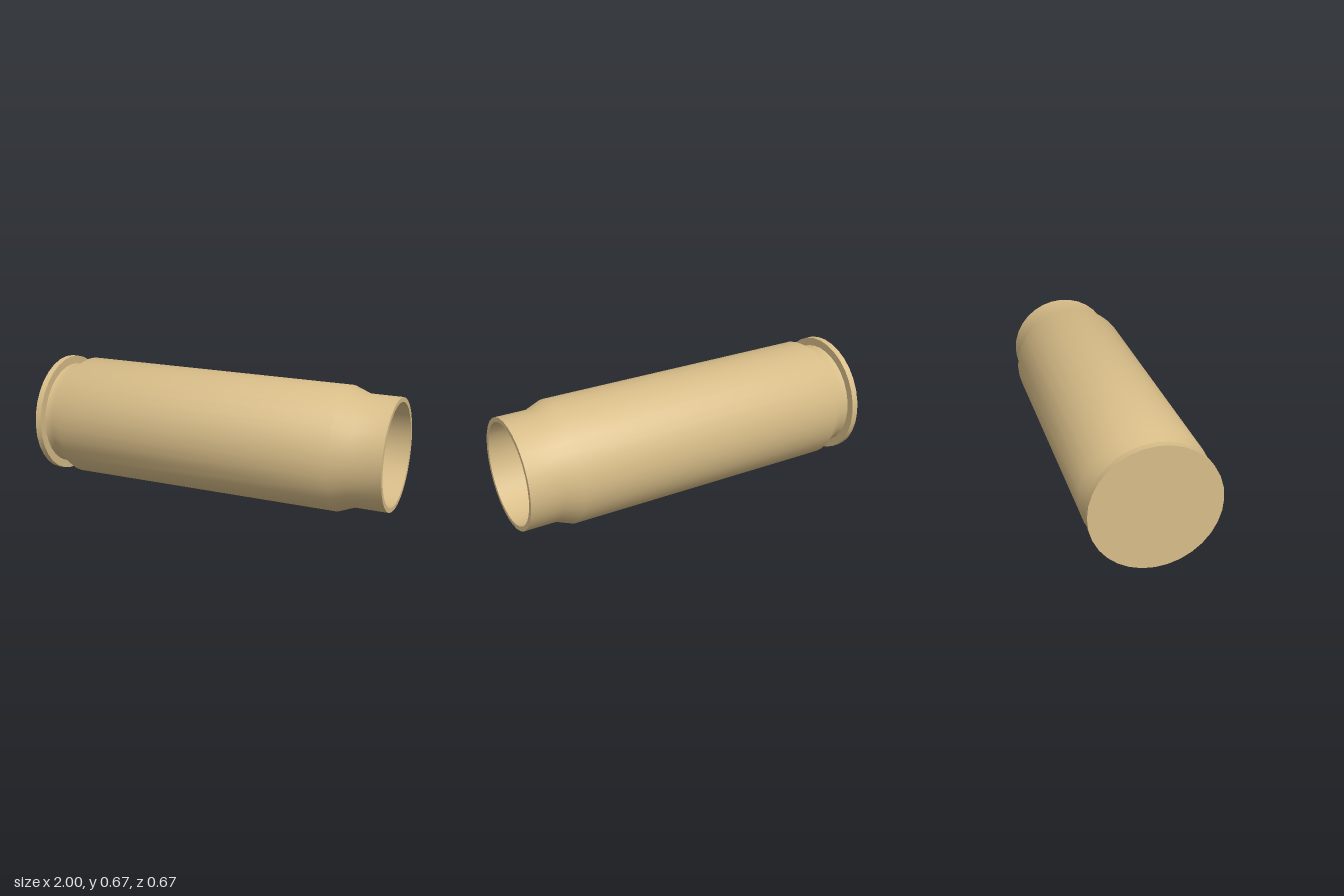
import * as THREE from 'three';
import { toCreasedNormals } from 'three/addons/utils/BufferGeometryUtils.js';

export function createModel() {
  const group = new THREE.Group();
  group.name = 'cartridgeCase';

  const brass = new THREE.MeshStandardMaterial({ color: 0xd8bd88 });

  // Closed profile as [radius, position along the axis], from base to mouth and back inside
  const profile = [
    [0, -1], [0.335, -1], [0.335, -0.965],             // base and rim
    [0.29, -0.965], [0.29, -0.92], [0.335, -0.84],     // extractor groove
    [0.335, 0.73], [0.30, 0.82], [0.30, 1],            // body, shoulder and neck
    [0.275, 1], [0.275, -0.9], [0, -0.9],              // mouth, bore and floor
  ].map(([r, y]) => new THREE.Vector2(r, y));

  const geometry = toCreasedNormals(new THREE.LatheGeometry(profile, 32), 0.6);
  const casing = new THREE.Mesh(geometry, brass);
  casing.name = 'casing';

  // Lay the case along x with its mouth towards +x
  casing.rotation.z = -Math.PI / 2;
  casing.position.y = 0.335;
  group.add(casing);

  return group;
}
